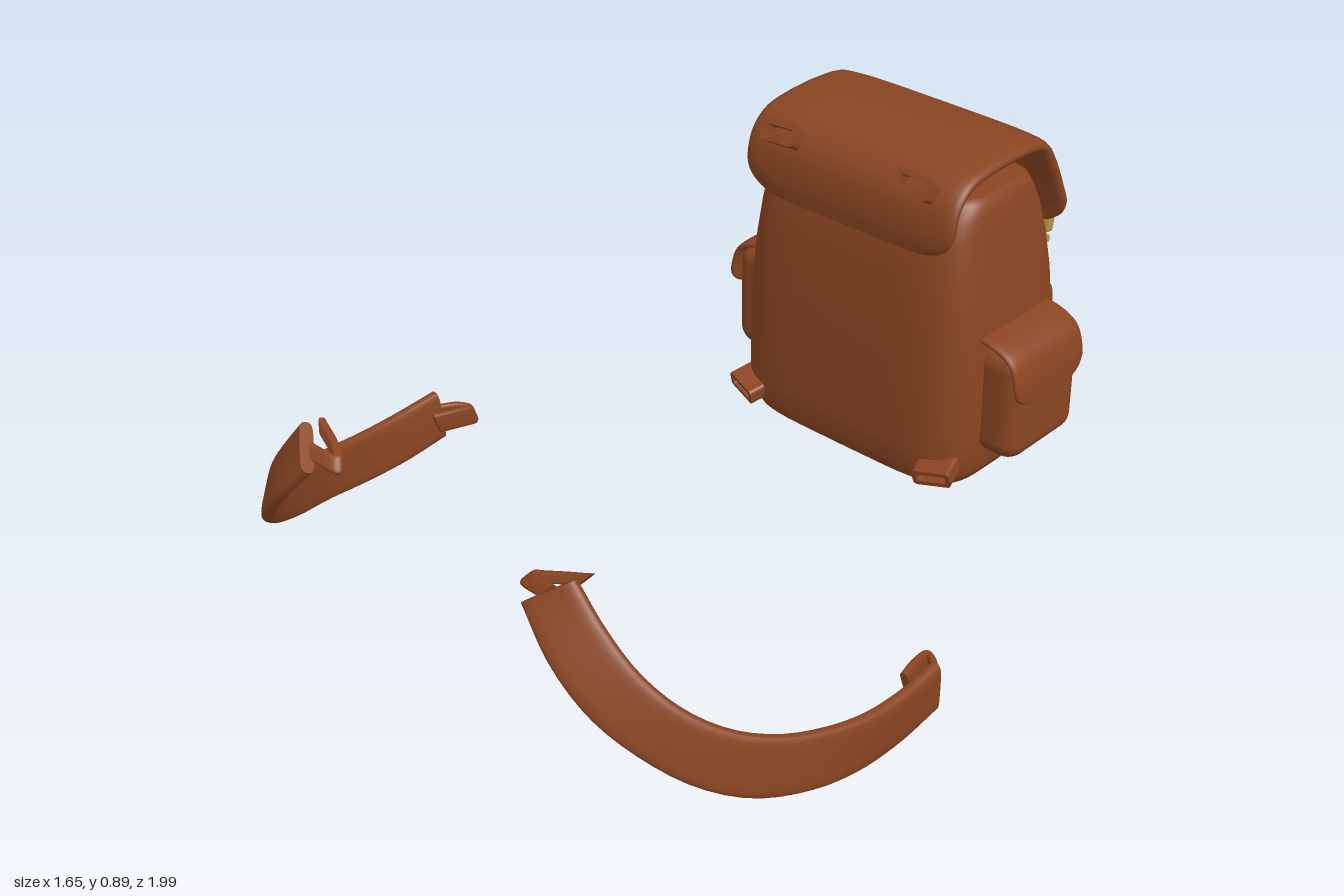
import * as THREE from 'three';
import { RoundedBoxGeometry } from 'three/addons/geometries/RoundedBoxGeometry.js';

const leather = new THREE.MeshStandardMaterial({ color: 0x8a4522 });
leather.name = 'brown leather';
const brass = new THREE.MeshStandardMaterial({ color: 0xb8914a });
brass.name = 'brass';

const V = (x, y, z) => new THREE.Vector3(x, y, z);
const power = (v, e) => Math.sign(v) * Math.abs(v) ** e;

// Skin closed rings of points and cap both ends, always facing outwards
function loft(rings) {
  const n = rings[0].length, pos = [], idx = [];
  rings.forEach(r => r.forEach(p => pos.push(p.x, p.y, p.z)));
  for (let i = 0; i < rings.length - 1; i++) {
    for (let j = 0; j < n; j++) {
      const a = i * n + j, b = i * n + (j + 1) % n;
      idx.push(a, b, a + n, b, b + n, a + n);
    }
  }
  [rings[0], rings[rings.length - 1]].forEach((r, end) => {
    const base = pos.length / 3, c = V(0, 0, 0);
    r.forEach(p => { pos.push(p.x, p.y, p.z); c.addScaledVector(p, 1 / n); });
    pos.push(c.x, c.y, c.z);
    for (let j = 0; j < n; j++) {
      const a = base + j, b = base + (j + 1) % n;
      if (end) idx.push(a, b, base + n); else idx.push(b, a, base + n);
    }
  });
  // Signed volume tells which way the skin faces
  const at = i => V(pos[i * 3], pos[i * 3 + 1], pos[i * 3 + 2]);
  let volume = 0;
  for (let i = 0; i < idx.length; i += 3) volume += at(idx[i]).dot(at(idx[i + 1]).cross(at(idx[i + 2])));
  if (volume < 0) idx.reverse();
  const g = new THREE.BufferGeometry();
  g.setAttribute('position', new THREE.Float32BufferAttribute(pos, 3));
  g.setIndex(idx);
  g.computeVertexNormals();
  return g;
}

// Thick leather strip between two edge curves, with rounded corners at each end
function strip(edgeA, edgeB, thick, r0 = 0, r1 = 0, bow = 0) {
  const A = new THREE.CatmullRomCurve3(edgeA), B = new THREE.CatmullRomCurve3(edgeB);
  const N = 44, frames = [];
  let length = 0;
  for (let i = 0; i <= N; i++) {
    const t = 0.5 - 0.5 * Math.cos(Math.PI * i / N);
    const a = A.getPoint(t), b = B.getPoint(t);
    const c = a.clone().add(b).multiplyScalar(0.5);
    if (i) length += c.distanceTo(frames[i - 1].c);
    const tan = A.getTangent(t).add(B.getTangent(t));
    const w = a.sub(b).multiplyScalar(0.5);
    frames.push({ c, w, n: tan.cross(w).normalize(), d: length });
  }
  const cut = (d, r) => d < r ? r - Math.sqrt(r * r - (r - d) ** 2) : 0;
  return loft(frames.map(({ c, w, n, d }) => {
    const half = w.length();
    const k = 1 - Math.min(0.95, (cut(d, r0) + cut(length - d, r1)) / half);
    return Array.from({ length: 28 }, (_, j) => {
      const a = j / 28 * Math.PI * 2;
      const u = power(Math.cos(a), 0.45) * k, v = power(Math.sin(a), 0.6);
      return c.clone().addScaledVector(w, u).addScaledVector(n, v * thick / 2 - bow * u * u);
    });
  }));
}

// Strip along a centre path with a constant half-width vector
const band = (path, w, ...rest) =>
  strip(path.map(p => p.clone().add(w)), path.map(p => p.clone().sub(w)), ...rest);

// Flat frame: rounded rectangle with a rectangular hole
function frame(w, h, rim, depth) {
  const rect = (o, x, y, r) => {
    o.moveTo(-x + r, -y); o.lineTo(x - r, -y); o.quadraticCurveTo(x, -y, x, -y + r);
    o.lineTo(x, y - r); o.quadraticCurveTo(x, y, x - r, y);
    o.lineTo(-x + r, y); o.quadraticCurveTo(-x, y, -x, y - r);
    o.lineTo(-x, -y + r); o.quadraticCurveTo(-x, -y, -x + r, -y);
    return o;
  };
  const s = rect(new THREE.Shape(), w / 2, h / 2, rim);
  s.holes.push(rect(new THREE.Path(), w / 2 - rim, h / 2 - rim, rim / 2));
  return new THREE.ExtrudeGeometry(s, { depth, bevelEnabled: false }).translate(0, 0, -depth / 2);
}

export function createModel() {
  const model = new THREE.Group();
  model.name = 'backpack';
  const add = (name, geo, mat = leather, parent = model) => {
    const m = new THREE.Mesh(geo, mat);
    m.name = name;
    parent.add(m);
    return m;
  };

  // Bag body: height, half width, back z, front z
  const levels = [
    [0.02, 0.20, -0.48, -0.77], [0.024, 0.29, -0.45, -0.81], [0.04, 0.335, -0.42, -0.845],
    [0.075, 0.355, -0.405, -0.86], [0.14, 0.36, -0.40, -0.865], [0.28, 0.36, -0.40, -0.87],
    [0.42, 0.357, -0.405, -0.87], [0.52, 0.348, -0.41, -0.865], [0.62, 0.335, -0.42, -0.85],
    [0.70, 0.322, -0.435, -0.83], [0.75, 0.315, -0.455, -0.805], [0.782, 0.305, -0.48, -0.785],
    [0.79, 0.29, -0.495, -0.765]];
  add('bagBody', loft(levels.map(([y, hx, zb, zf]) => Array.from({ length: 56 }, (_, j) => {
    const a = j / 56 * Math.PI * 2;
    return V(hx * power(Math.cos(a), 0.4), y, (zb + zf) / 2 + (zb - zf) / 2 * power(Math.sin(a), 0.4));
  }))));

  // Top flap, arched over the open gap
  const flapPath = [[0.68, -0.425], [0.74, -0.42], [0.81, -0.435], [0.85, -0.475], [0.866, -0.54],
    [0.868, -0.70], [0.853, -0.77], [0.80, -0.81], [0.72, -0.85], [0.66, -0.875], [0.60, -0.885]];
  add('topFlap', band(flapPath.map(([y, z]) => V(0, y, z)), V(0.32, 0, 0), 0.046, 0.08, 0.08));

  // Front pocket, leaning in slightly towards its top
  const pocket = new RoundedBoxGeometry(0.51, 0.275, 0.17, 5, 0.06);
  const pp = pocket.attributes.position;
  for (let i = 0; i < pp.count; i++) {
    if (pp.getZ(i) < 0) pp.setZ(i, pp.getZ(i) + Math.max(0, pp.getY(i)) * 0.15);
  }
  pocket.computeVertexNormals();
  add('frontPocket', pocket).position.set(0, 0.273, -0.915);

  for (const s of [1, -1]) {
    const side = s > 0 ? 'left' : 'right';

    // Side pocket with its own flap
    add(side + 'SidePocket', new RoundedBoxGeometry(0.14, 0.30, 0.27, 5, 0.05))
      .position.set(s * 0.388, 0.27, -0.655);
    const lid = [[0.335, 0.445], [0.39, 0.435], [0.435, 0.41], [0.455, 0.36], [0.46, 0.295]];
    add(side + 'SidePocketFlap',
      band(lid.map(([x, y]) => V(s * x, y, -0.648)), V(0, 0, 0.138), 0.022, 0.02, 0.05));

    // Closing strap and buckle
    const closing = [[0.73, -0.868], [0.68, -0.892], [0.63, -0.912], [0.57, -0.925], [0.5, -0.925], [0.44, -0.92]];
    add(side + 'ClosingStrap',
      band(closing.map(([y, z]) => V(s * 0.187, y, z)), V(0.037, 0, 0), 0.02, 0.03, 0.037));
    const buckle = new THREE.Group();
    buckle.name = side + 'Buckle';
    buckle.position.set(s * 0.187, 0.587, -0.928);
    add('buckleFrame', frame(0.118, 0.1, 0.016, 0.026), brass, buckle).rotation.x = -0.15;
    add('bucklePin', new THREE.BoxGeometry(0.01, 0.085, 0.01), brass, buckle).position.set(0, 0, -0.012);
    add('buckleKeeper', new THREE.BoxGeometry(0.092, 0.018, 0.038), brass, buckle).position.set(0, -0.075, 0.003);
    model.add(buckle);

    // Hollow sleeves where the shoulder strap joins the bag
    const upper = add(side + 'UpperSleeve', frame(0.105, 0.055, 0.014, 0.075));
    upper.position.set(s * 0.205, 0.835, -0.432);
    upper.rotation.set(-0.6, 0, s * -0.06);
    const lower = add(side + 'LowerSleeve', frame(0.1, 0.045, 0.012, 0.08));
    lower.position.set(s * 0.302, 0.1, -0.425);
    lower.rotation.set(0.25, s * 0.3, s * 0.1);

    // Detached shoulder strap, sweeping down and outwards
    const inner = [[0.42, 0.55, 0.90], [0.55, 0.40, 0.885], [0.66, 0.285, 0.815], [0.735, 0.21, 0.70],
      [0.785, 0.165, 0.55], [0.808, 0.145, 0.40], [0.808, 0.155, 0.23]];
    const outer = [[0.335, 0.49, 0.97], [0.425, 0.39, 0.985], [0.525, 0.28, 0.96], [0.64, 0.165, 0.875],
      [0.72, 0.085, 0.77], [0.785, 0.03, 0.59], [0.80, 0.006, 0.40], [0.80, 0.02, 0.22]];
    // Both edges share the same number of steps
    const resample = e => new THREE.CatmullRomCurve3(e.map(([x, y, z]) => V(s * x, y, z))).getSpacedPoints(9);
    add(side + 'ShoulderStrap', strip(resample(inner), resample(outer), 0.033));

    // Folded tabs at both ends of the shoulder strap
    add(side + 'StrapTopTab', band([V(s * 0.37, 0.51, 0.93), V(s * 0.30, 0.5, 0.915), V(s * 0.35, 0.51, 0.885),
      V(s * 0.41, 0.525, 0.865)], V(s * 0.012, 0.015, -0.01), 0.02));
    add(side + 'StrapBottomTab', band([V(s * 0.80, 0.09, 0.225), V(s * 0.77, 0.09, 0.18), V(s * 0.742, 0.088, 0.165),
      V(s * 0.745, 0.095, 0.21), V(s * 0.76, 0.1, 0.27)], V(0, 0.03, 0.01), 0.018));
  }
  return model;
}
